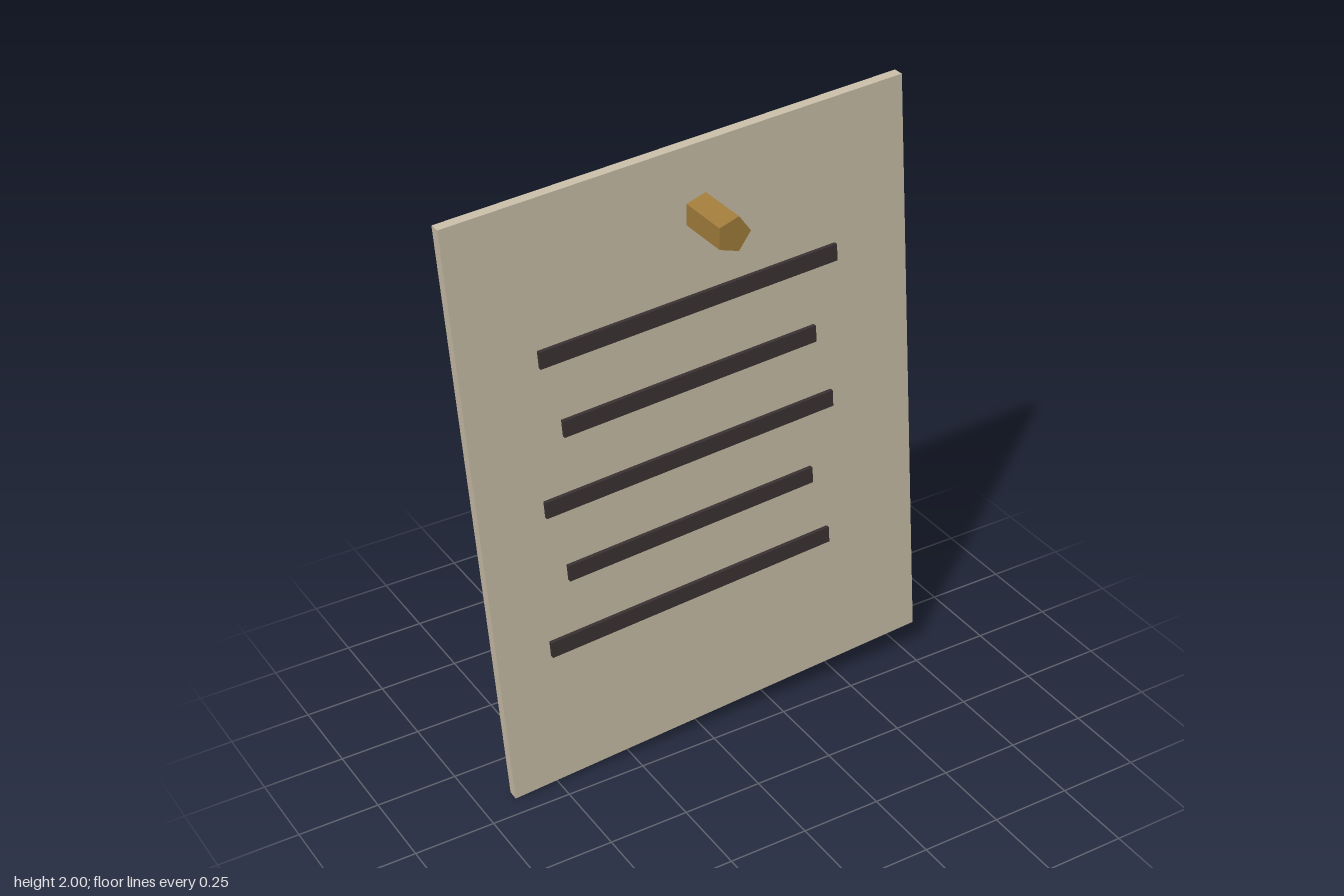
import * as THREE from 'three';

const paper = new THREE.MeshStandardMaterial({ name: 'parchment', color: 0xc9bea8, flatShading: true });
const ink = new THREE.MeshStandardMaterial({ name: 'darkInk', color: 0x3a3232, flatShading: true });
const brass = new THREE.MeshStandardMaterial({ name: 'brass', color: 0xa07c3a, flatShading: true });

const TILT = 0.07;

// Thin slab in the xy plane, tilted like the notice, spanning z0..z1
function slab(name, w, h, z0, z1, x, y, material) {
  const mesh = new THREE.Mesh(new THREE.BoxGeometry(w, h, z1 - z0), material);
  mesh.name = name;
  mesh.position.set(x, y, (z0 + z1) / 2);
  mesh.rotation.z = TILT;
  return mesh;
}

export function createModel() {
  const group = new THREE.Group();
  group.name = 'pinnedNotice';

  // Sheet
  group.add(slab('sheet', 1.423, 1.905, -0.098, -0.065, 0, 1, paper));

  // Written lines, alternating long and short
  for (let i = 0; i < 5; i++) {
    const width = i % 2 ? 0.82 : 0.949;
    group.add(slab('line' + (i + 1), width, 0.053, -0.07, -0.053, -0.036, 1.479 - i * 0.238, ink));
  }

  // Five-sided nail through the sheet
  const nail = new THREE.Mesh(
    new THREE.CylinderGeometry(0.054, 0.054, 0.205, 5, 1, false, Math.PI / 2).rotateX(Math.PI / 2),
    brass
  );
  nail.name = 'nail';
  nail.position.set(-0.003, 1.752, 0);
  group.add(nail);

  return group;
}
